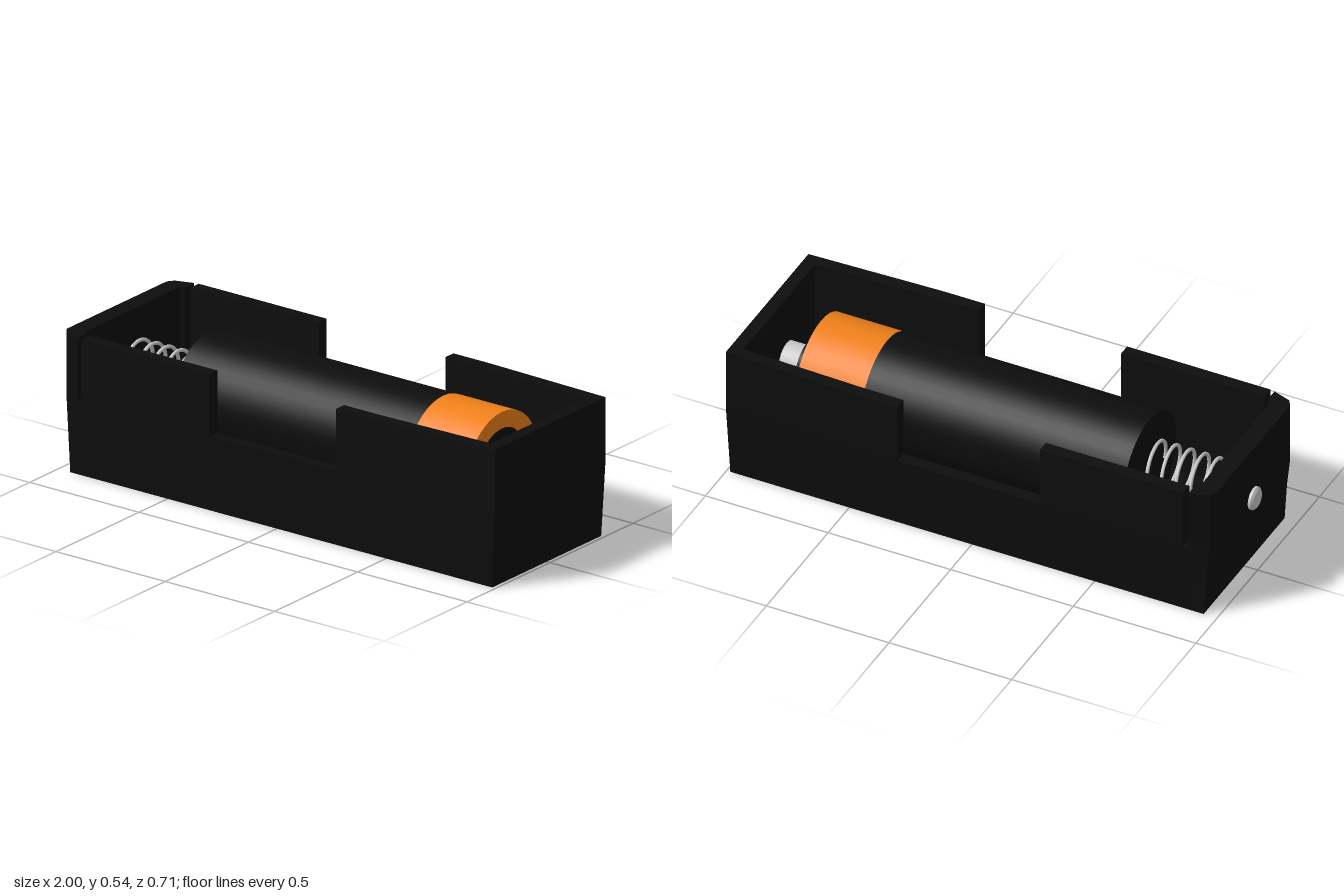
import * as THREE from 'three';

const black = new THREE.MeshStandardMaterial({ color: 0x0d0d0d, flatShading: true, side: THREE.DoubleSide });
const sleeveBlack = new THREE.MeshStandardMaterial({ color: 0x0d0d0d });
const orange = new THREE.MeshStandardMaterial({ color: 0xf08019 });
const metal = new THREE.MeshStandardMaterial({ color: 0xcccccc });

const AXIS_Y = 0.322, RIM = 0.3, TOP = 0.543, FLOOR = 0.09;

// Half outlines [x, z], from the spring end to the contact end
const outer = [[-0.982, 0.3], [-0.965, 0.325], [-0.88, 0.353], [0.45, 0.353], [1, 0.335]];
const base = [[-0.945, 0.31], [-0.945, 0.328], [-0.87, 0.328], [0.45, 0.328], [0.985, 0.328]];
const inner = [[-0.91, 0.27], [-0.91, 0.285], [-0.86, 0.305], [0.45, 0.305], [0.95, 0.29]];

const mirrored = (half) => half.map(([x, z]) => [x, -z]).reverse();

// Closed ring at height y; backMax limits how far the rear side reaches
function ring(half, y, backMax = 1) {
  return [...half, ...mirrored(half)].map(([x, z]) => [x, y, Math.max(z, -backMax)]);
}

// Skin between successive rings, closed at both ends by fans
function loft(rings) {
  const n = rings[0].length, pos = rings.flat(2), index = [];
  for (let r = 0; r < rings.length - 1; r++) {
    for (let i = 0; i < n; i++) {
      const a = r * n + i, b = r * n + (i + 1) % n;
      index.push(a, b, b + n, a, b + n, a + n);
    }
  }
  const last = (rings.length - 1) * n;
  for (let i = 1; i < n - 1; i++) {
    index.push(0, i + 1, i, last, last + i, last + i + 1);
  }
  const g = new THREE.BufferGeometry();
  g.setAttribute('position', new THREE.Float32BufferAttribute(pos, 3));
  g.setIndex(index);
  const flat = g.toNonIndexed();
  flat.computeVertexNormals();
  return flat;
}

// Upright wall with the given plan outline, standing on the rim
function wall(points) {
  const shape = new THREE.Shape(points.map(([x, z]) => new THREE.Vector2(x, -z)));
  const g = new THREE.ExtrudeGeometry(shape, { depth: TOP - RIM, bevelEnabled: false });
  return g.rotateX(-Math.PI / 2).translate(0, RIM, 0);
}

// Revolved part lying along x; profile is [radius, x]
function turned(profile, segments = 40) {
  // Doubling each corner keeps the edges sharp
  const pts = profile.flatMap(([r, x], i) => {
    const p = new THREE.Vector2(r, x);
    return i > 0 && i < profile.length - 1 ? [p, p.clone()] : [p];
  });
  return new THREE.LatheGeometry(pts, segments).rotateZ(-Math.PI / 2).translate(0, AXIS_Y, 0);
}

// Conical-free helix along the cell axis
class Helix extends THREE.Curve {
  getPoint(t, target = new THREE.Vector3()) {
    const a = t * 5.6 * Math.PI * 2 - 0.4;
    return target.set(-0.9 + 0.33 * t, AXIS_Y + 0.105 * Math.sin(a), -0.105 * Math.cos(a));
  }
}

export function createModel() {
  const model = new THREE.Group();
  model.name = 'batteryHolder';
  const add = (name, geometry, material, parent = model) => {
    const mesh = new THREE.Mesh(geometry, material);
    mesh.name = name;
    parent.add(mesh);
    return mesh;
  };

  // Tapered tray with a small overhang along the rear rim
  add('tray', loft([
    ring(base, 0), ring(outer, RIM, 0.335), ring(outer, RIM),
    ring(inner, RIM), ring(inner, FLOOR),
  ]), black);

  // Raised walls, with a finger gap mid-length and a slot near the spring end
  const walls = new THREE.Group();
  walls.name = 'raisedWalls';
  model.add(walls);
  for (const [name, s] of [['frontPanel', 1], ['rearPanel', -1]]) {
    add(name, wall([[-0.875, 0.353 * s], [-0.29, 0.353 * s], [-0.29, 0.305 * s], [-0.875, 0.305 * s]]), black, walls);
  }
  const contactOut = [[0.29, 0.353], [0.45, 0.353], [1, 0.335]];
  const contactIn = [[0.29, 0.305], [0.45, 0.305], [0.95, 0.29]];
  add('contactEndWall', wall([...contactOut, ...mirrored(contactOut),
    ...contactIn.map(([x, z]) => [x, -z]), ...[...contactIn].reverse()]), black, walls);
  const springOut = [[-0.893, 0.349], [-0.965, 0.325], [-0.982, 0.3]];
  const springIn = [[-0.893, 0.292], [-0.91, 0.285]];
  add('springEndWall', wall([...springOut, ...mirrored(springOut),
    ...springIn.map(([x, z]) => [x, -z]), ...[...springIn].reverse()]), black, walls);

  // Cell: dark sleeve, coloured band, insulating collar and metal button
  const cell = new THREE.Group();
  cell.name = 'cell';
  model.add(cell);
  add('sleeve', turned([[0, -0.56], [0.215, -0.56], [0.215, 0.51], [0, 0.51]]), sleeveBlack, cell);
  add('colouredBand', turned([[0.215, 0.51], [0.215, 0.78], [0.15, 0.78], [0.15, 0.765]]), orange, cell);
  add('collar', turned([[0.15, 0.77], [0.09, 0.77], [0.09, 0.84], [0, 0.84]]), sleeveBlack, cell);
  add('button', turned([[0.067, 0.83], [0.067, 0.92], [0, 0.92]], 24), metal, cell);

  // Contact spring and the rivet that holds it
  add('spring', new THREE.TubeGeometry(new Helix(), 260, 0.007, 8), metal);
  add('rivet', turned([[0, -1], [0.036, -1], [0.045, -0.992], [0.045, -0.95], [0, -0.95]], 24), metal);
  add('rivetInside', turned([[0, -0.92], [0.045, -0.92], [0.045, -0.9], [0, -0.9]], 24), metal);

  return model;
}
